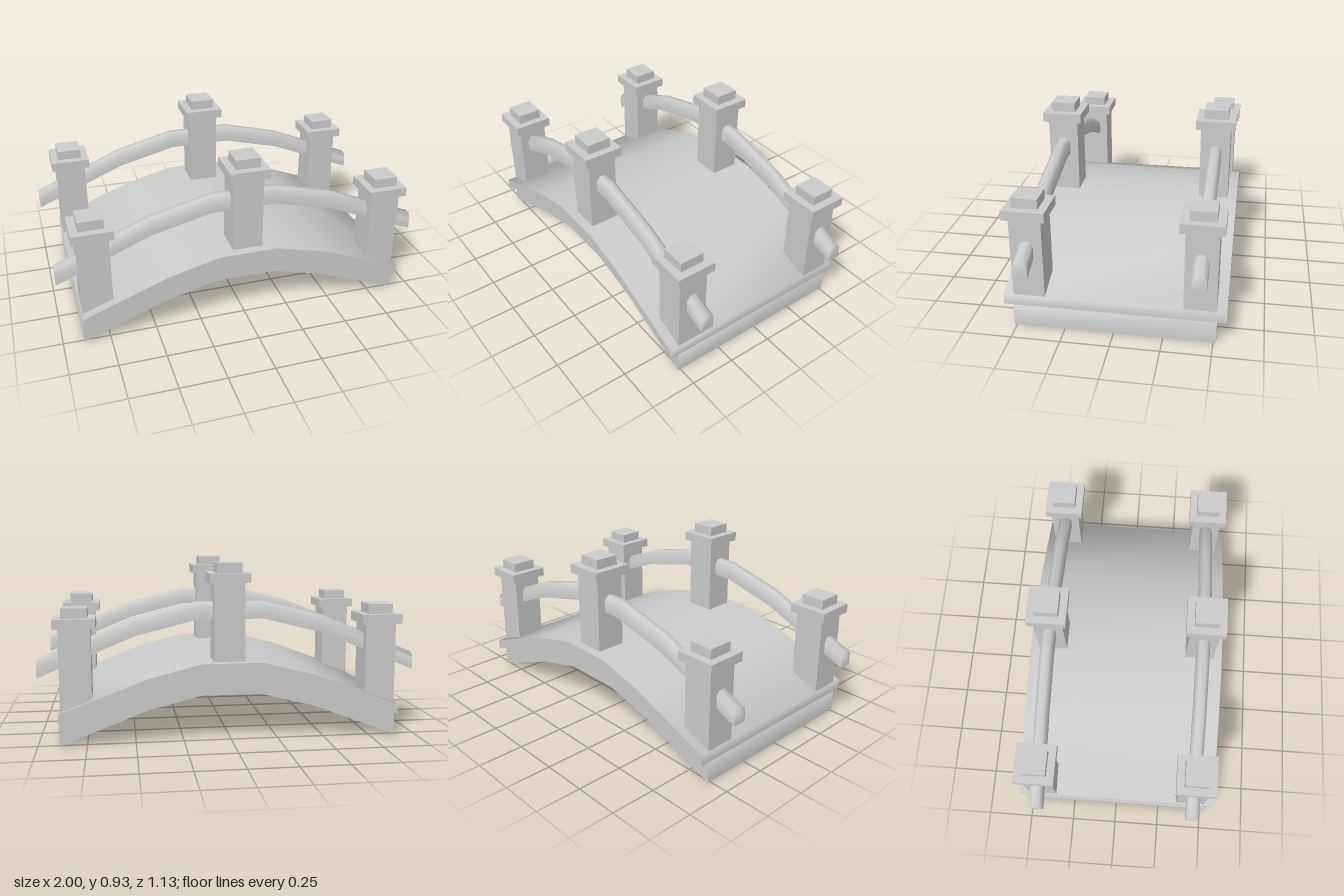
import * as THREE from 'three';
import { toCreasedNormals } from 'three/addons/utils/BufferGeometryUtils.js';

const material = new THREE.MeshStandardMaterial({ color: 0xcccccc });

// Sweep a convex [z, y] section (counter-clockwise seen from +x) along [x, y] points, keeping it upright.
function sweep(name, path, section) {
  const n = section.length;
  const positions = [];
  const index = [];
  for (const [x, y] of path) {
    for (const [sz, sy] of section) positions.push(x, y + sy, sz);
  }
  for (let i = 0; i < path.length - 1; i++) {
    for (let j = 0; j < n; j++) {
      const a = i * n + j;
      const b = i * n + (j + 1) % n;
      index.push(a, b, b + n, a, b + n, a + n);
    }
  }
  const last = (path.length - 1) * n;
  for (let j = 1; j < n - 1; j++) {
    index.push(0, j + 1, j);
    index.push(last, last + j, last + j + 1);
  }
  const geometry = new THREE.BufferGeometry();
  geometry.setAttribute('position', new THREE.Float32BufferAttribute(positions, 3));
  geometry.setIndex(index);
  const mesh = new THREE.Mesh(toCreasedNormals(geometry, THREE.MathUtils.degToRad(80)), material);
  mesh.name = name;
  return mesh;
}

// Complete a half path into a symmetric arch.
const arch = (half) => [...half, ...half.map(([x, y]) => [-x, y]).reverse()];

const rectangle = (halfWidth, bottom, top) => [
  [halfWidth, bottom], [-halfWidth, bottom], [-halfWidth, top], [halfWidth, top],
];

function block(name, width, bottom, top) {
  const mesh = new THREE.Mesh(new THREE.BoxGeometry(width, top - bottom, width), material);
  mesh.name = name;
  mesh.position.y = (bottom + top) / 2;
  return mesh;
}

// Square post with a wide cap and a small block on top.
function createPost(name, x, z, bottom, shaftTop) {
  const post = new THREE.Group();
  post.name = name;
  post.add(
    block('postShaft', 0.163, bottom, shaftTop),
    block('postCap', 0.215, shaftTop, shaftTop + 0.05),
    block('postFinial', 0.132, shaftTop + 0.05, shaftTop + 0.102),
  );
  post.position.set(x, 0, z);
  return post;
}

export function createModel() {
  const bridge = new THREE.Group();
  bridge.name = 'archedFootbridge';

  // Arched beam and the wider deck slab resting on it
  const deckPath = arch([[-0.89, 0], [-0.44, 0.172], [-0.16, 0.243]]);
  bridge.add(sweep('archBeam', deckPath, rectangle(0.515, 0, 0.12)));
  bridge.add(sweep('deckSlab', deckPath, rectangle(0.563, 0.12, 0.175)));

  // Handrails with bevelled upper edges
  const railPath = arch([[-1, 0.347], [-0.5, 0.555], [-0.175, 0.636]]);
  const railZ = 0.43;
  const railSection = [
    [0.036, 0], [-0.036, 0], [-0.036, 0.066], [-0.016, 0.091], [0.016, 0.091], [0.036, 0.066],
  ];

  for (const [side, sign] of [['front', 1], ['back', -1]]) {
    const rail = sweep(`${side}Handrail`, railPath, railSection);
    rail.position.z = sign * railZ;
    bridge.add(rail);
    bridge.add(createPost(`${side}RightPost`, -0.803, sign * railZ, 0.175, 0.605));
    bridge.add(createPost(`${side}MiddlePost`, 0.01, sign * railZ, 0.4, 0.828));
    bridge.add(createPost(`${side}LeftPost`, 0.803, sign * railZ, 0.175, 0.605));
  }
  return bridge;
}
